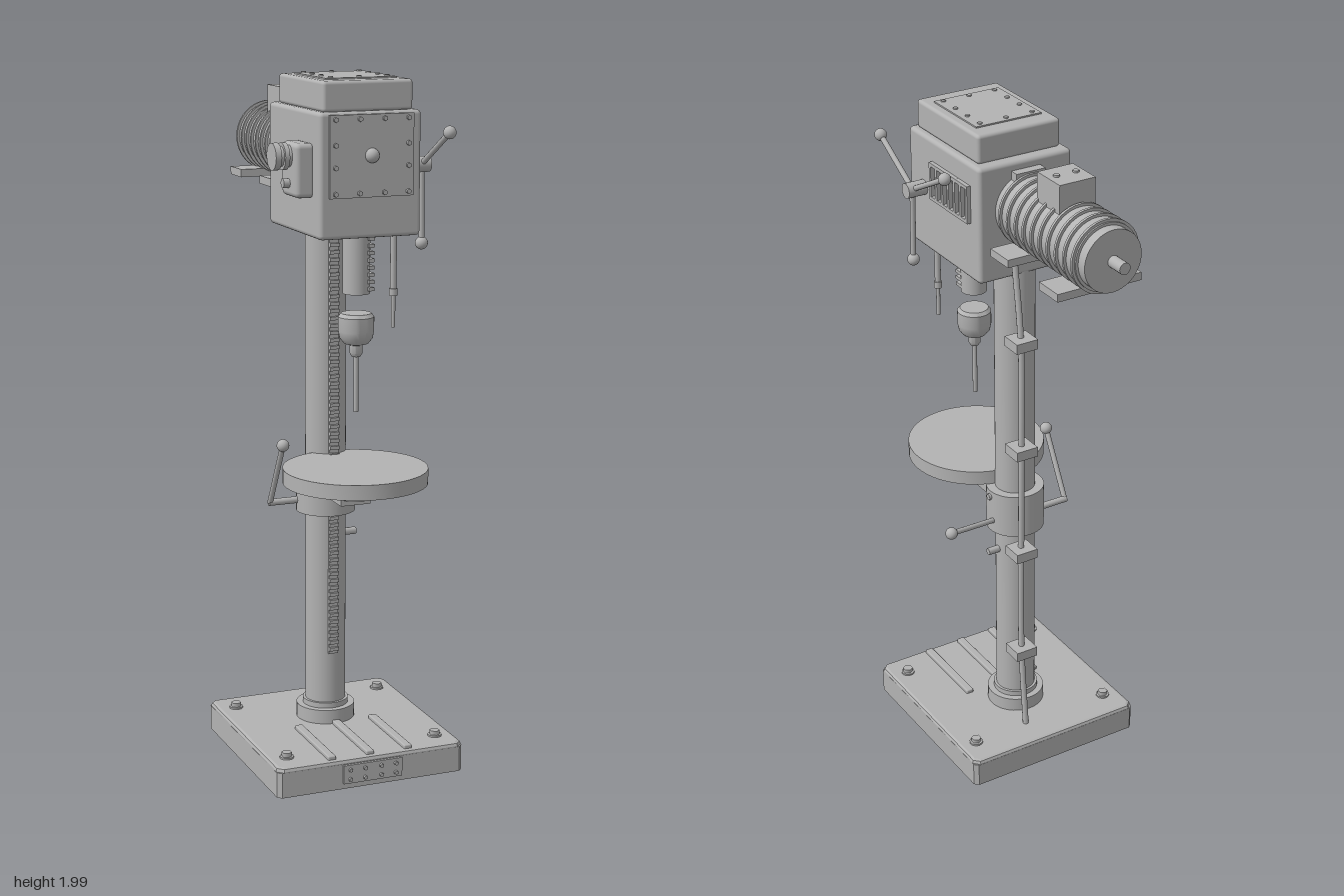
import * as THREE from 'three';
import { RoundedBoxGeometry } from 'three/addons/geometries/RoundedBoxGeometry.js';
import { toCreasedNormals } from 'three/addons/utils/BufferGeometryUtils.js';

export function createModel() {
  const model = new THREE.Group();
  const grey = new THREE.MeshStandardMaterial({ color: 0xb3b3b3, side: THREE.DoubleSide });
  grey.name = 'castGrey';

  const add = (name, geo, x = 0, y = 0, z = 0) => {
    const m = new THREE.Mesh(geo, grey);
    m.name = name;
    m.position.set(x, y, z);
    model.add(m);
    return m;
  };
  // box given by its limits; round > 0 softens the edges
  const box = (name, x0, x1, y0, y1, z0, z1, round = 0) => {
    const s = [x1 - x0, y1 - y0, z1 - z0];
    const g = round ? new RoundedBoxGeometry(...s, 2, round) : new THREE.BoxGeometry(...s);
    return add(name, g, (x0 + x1) / 2, (y0 + y1) / 2, (z0 + z1) / 2);
  };
  const V = (x, y, z) => new THREE.Vector3(x, y, z);
  const UP = V(0, 1, 0);
  // cylinder between two points
  const rod = (name, a, b, r, sides = 16, r2 = r) => {
    const d = b.clone().sub(a);
    const m = add(name, new THREE.CylinderGeometry(r2, r, d.length(), sides));
    m.position.copy(a).addScaledVector(d, 0.5);
    m.quaternion.setFromUnitVectors(UP, d.normalize());
    return m;
  };
  const ball = (name, p, r) => add(name, new THREE.SphereGeometry(r, 20, 14), p.x, p.y, p.z);
  const lever = (name, a, b, r = 0.008, knob = 0.018) => {
    rod(name, a, b, r, 12);
    ball(name + 'Knob', b, knob);
  };
  const bolt = (p, dir, r = 0.007, h = 0.008) => rod('bolt', p, p.clone().addScaledVector(dir, h), r, 6);
  const X = V(1, 0, 0), Z = V(0, 0, 1);

  // base: hollow walls under a bevelled lid
  const rect = (w, d, c, T = THREE.Shape) => new T([
    [-w + c, -d], [w - c, -d], [w, -d + c], [w, d - c], [w - c, d], [-w + c, d], [-w, d - c], [-w, -d + c],
  ].map(p => new THREE.Vector2(...p)));
  const wall = rect(0.285, 0.297, 0.012);
  wall.holes.push(rect(0.273, 0.285, 0.01, THREE.Path));
  add('baseWalls', new THREE.ExtrudeGeometry(wall, { depth: 0.074, bevelEnabled: false }).rotateX(-Math.PI / 2), 0, 0.003, 0.111);
  add('baseTop', new THREE.ExtrudeGeometry(rect(0.275, 0.287, 0.012), {
    depth: 0.002, bevelThickness: 0.01, bevelSize: 0.01, bevelSegments: 2,
  }).rotateX(-Math.PI / 2), 0, 0.078, 0.111);
  for (const x of [-0.23, 0.23]) for (const z of [-0.097, 0.33]) {
    rod('anchorWasher', V(x, 0.088, z), V(x, 0.095, z), 0.02, 20);
    bolt(V(x, 0.094, z), UP, 0.015, 0.013);
  }
  for (const x of [-0.117, 0, 0.117]) box('baseRail', x - 0.012, x + 0.012, 0.085, 0.101, 0.13, 0.395, 0.004);
  box('basePlate', -0.09, 0.09, 0.02, 0.075, 0.4, 0.416);
  for (const x of [-0.07, -0.025, 0.025, 0.07]) for (const y of [0.033, 0.061]) bolt(V(x, y, 0.415), Z, 0.006, 0.008);

  // column, flange and rack
  const cz = 0.05;
  rod('columnFlange', V(0, 0.088, cz), V(0, 0.132, cz), 0.086, 40);
  rod('columnCollar', V(0, 0.13, cz), V(0, 0.148, cz), 0.067, 40);
  rod('column', V(0, 0.1, cz), V(0, 1.58, cz), 0.059, 40);
  box('rack', -0.014, 0.014, 0.3, 1.57, 0.1, 0.114);
  for (let y = 0.31; y < 1.56; y += 0.021) box('rackTooth', -0.014, 0.014, y, y + 0.01, 0.113, 0.122);

  // table carrier and its levers
  rod('carrier', V(0, 0.725, cz), V(0, 0.86, cz), 0.086, 40);
  box('tableArm', -0.045, 0.045, 0.795, 0.862, 0.11, 0.28);
  rod('tableBoss', V(0, 0.813, 0.275), V(0, 0.865, 0.275), 0.04, 28);
  lever('clampLever', V(0.075, 0.762, 0.04), V(0.253, 0.798, -0.01));
  rod('crankShaft', V(-0.07, 0.758, 0.038), V(-0.172, 0.758, 0.038), 0.01);
  lever('crankArm', V(-0.168, 0.758, 0.038), V(-0.168, 0.952, 0.145));
  bolt(V(0.083, 0.84, cz), X, 0.01, 0.01);
  bolt(V(0.05, 0.65, cz), X, 0.011, 0.045);

  // round table, open beneath
  const tableProfile = [[0, 0.905], [0.205, 0.905], [0.205, 0.862], [0.197, 0.862], [0.197, 0.893], [0, 0.893]];
  add('table', toCreasedNormals(new THREE.LatheGeometry(
    tableProfile.reverse().map(p => new THREE.Vector2(...p)), 56), 0.6), 0, 0, 0.275);

  // head with cap and covers
  box('head', -0.148, 0.148, 1.566, 1.907, -0.01, 0.376, 0.012);
  box('headCap', -0.131, 0.131, 1.905, 1.988, 0.022, 0.357, 0.01);
  box('capPlate', -0.104, 0.104, 1.98, 1.992, 0.076, 0.306);
  for (const z of [0.092, 0.158, 0.223, 0.29]) for (const x of [-0.083, 0.083]) bolt(V(x, 1.991, z), UP, 0.007, 0.005);
  for (const z of [0.092, 0.29]) bolt(V(0, 1.991, z), UP, 0.007, 0.005);
  box('frontCover', -0.122, 0.122, 1.678, 1.9, 0.37, 0.384);
  for (const x of [-0.106, -0.036, 0.036, 0.106]) for (const y of [1.69, 1.76, 1.82, 1.888])
    if (Math.abs(x) > 0.1 || y < 1.7 || y > 1.88) bolt(V(x, y, 0.383), Z, 0.007, 0.009);
  ball('frontKnob', V(0, 1.79, 0.384), 0.02);

  // vent frame with vertical bars
  for (const [y0, y1] of [[1.735, 1.745], [1.835, 1.845]]) box('ventRail', 0.145, 0.16, y0, y1, 0.035, 0.243);
  for (let i = 0; i < 7; i++) box('ventBar', 0.145, 0.16, 1.735, 1.845, 0.035 + i * 0.033, 0.045 + i * 0.033);

  // three-armed feed handle
  rod('feedHub', V(0.14, 1.75, 0.295), V(0.207, 1.75, 0.295), 0.022, 24);
  const hub = V(0.184, 1.75, 0.297);
  for (const [y, z] of [[1.853, 0.477], [1.845, 0.113], [1.533, 0.302]]) lever('feedArm', hub, V(0.184, y, z));

  // speed selector box and knob
  box('selectorBox', -0.196, -0.14, 1.675, 1.822, 0.213, 0.326, 0.014);
  rod('selectorNeck', V(-0.19, 1.785, 0.27), V(-0.21, 1.785, 0.27), 0.03, 28);
  rod('selectorKnobInner', V(-0.205, 1.785, 0.27), V(-0.218, 1.785, 0.27), 0.037, 28);
  rod('selectorGroove', V(-0.215, 1.785, 0.27), V(-0.232, 1.785, 0.27), 0.028, 28);
  rod('selectorKnobOuter', V(-0.228, 1.785, 0.27), V(-0.245, 1.785, 0.27), 0.037, 28);
  rod('selectorButton', V(-0.19, 1.712, 0.27), V(-0.214, 1.712, 0.27), 0.013);

  // quill with rack teeth, chuck and drill bit
  const sz = 0.277;
  rod('quill', V(0, 1.4, sz), V(0, 1.58, sz), 0.038, 32);
  for (let y = 1.41; y < 1.56; y += 0.02) box('quillTooth', 0.02, 0.037, y, y + 0.01, 0.27, 0.318);
  const chuck = [[0, 1.345], [0.042, 1.345], [0.05, 1.335], [0.05, 1.295], [0.046, 1.275], [0.034, 1.26],
    [0.018, 1.255], [0.018, 1.232], [0.012, 1.222], [0, 1.222]];
  add('chuck', toCreasedNormals(new THREE.LatheGeometry(
    chuck.reverse().map(p => new THREE.Vector2(...p)), 32), 0.6), 0, 0, sz);
  rod('drillBit', V(0, 1.065, sz), V(0, 1.25, sz), 0.007, 12);

  // depth stop
  rod('depthRod', V(0.08, 1.312, 0.348), V(0.08, 1.575, 0.348), 0.006, 12);
  rod('depthSleeve', V(0.08, 1.42, 0.348), V(0.08, 1.575, 0.348), 0.009, 12);
  rod('depthNut', V(0.08, 1.4, 0.348), V(0.08, 1.42, 0.348), 0.012, 12);

  // motor with cooling fins
  const my = 1.772;
  const alongZ = (name, z0, z1, r, sides = 40) => rod(name, V(0, my, z0), V(0, my, z1), r, sides);
  alongZ('motorBody', 0, -0.41, 0.097);
  alongZ('motorEnd', -0.4, -0.44, 0.089);
  alongZ('motorShaft', -0.43, -0.495, 0.017, 20);
  for (let i = 0; i < 10; i++) alongZ('motorFin', -0.037 - i * 0.04, -0.045 - i * 0.04, 0.105);
  box('motorLug', -0.046, 0.046, 1.8, 1.882, -0.038, 0);
  box('junctionBox', -0.056, 0.056, 1.83, 1.934, -0.268, -0.157);
  for (const x of [-0.03, 0.03]) bolt(V(x, 1.933, -0.212), UP, 0.009, 0.007);
  for (const z of [-0.335, -0.086]) {
    box('motorFoot', -0.132, 0.132, 1.678, 1.686, z - 0.046, z + 0.046);
    for (const s of [-1, 1]) {
      box('footSide', -0.132, 0.132, 1.663, 1.686, z + s * 0.042 - 0.004, z + s * 0.042 + 0.004);
      box('footEnd', s * 0.128 - 0.004, s * 0.128 + 0.004, 1.663, 1.686, z - 0.046, z + 0.046);
    }
  }

  // cable run with clips
  const cable = [[1.62, -0.033], [1.39, -0.065], [1.045, -0.068], [0.7, -0.066], [0.35, -0.068], [0.088, -0.092]]
    .map(([y, z]) => V(0.05, y, z));
  add('cable', new THREE.TubeGeometry(new THREE.CatmullRomCurve3(cable), 60, 0.009, 10));
  for (const y of [1.39, 1.045, 0.7, 0.35]) box('cableClip', 0.016, 0.085, y - 0.015, y + 0.015, -0.102, -0.035);

  return model;
}
